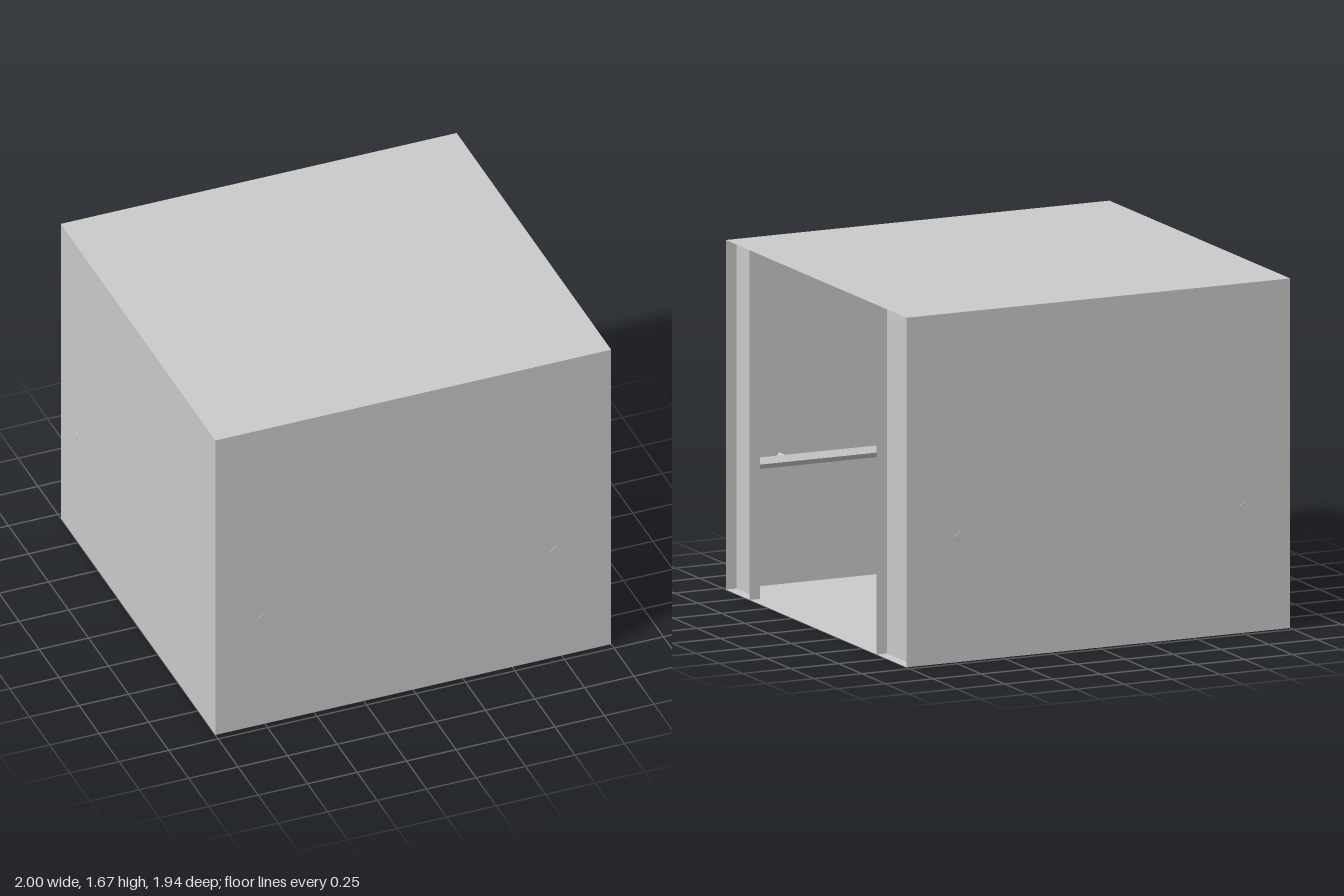
import * as THREE from 'three';

const H = 1.675, X = 1, Z = 0.965; // height and half sizes
const RAIL_Y = 0.603, R = 0.028;

export function createModel() {
  const room = new THREE.Group();
  room.name = 'room';
  const sheetMat = new THREE.MeshStandardMaterial({ color: 0xcccccc, side: THREE.DoubleSide });
  const mat = new THREE.MeshStandardMaterial({ color: 0xcccccc, flatShading: true });

  const add = (name, geometry, material, x, y, z) => {
    const mesh = new THREE.Mesh(geometry, material);
    mesh.name = name;
    mesh.position.set(x, y, z);
    room.add(mesh);
    return mesh;
  };
  // Thin flat sheet, turned about one axis
  const sheet = (name, w, h, x, y, z, rx = 0, ry = 0) =>
    add(name, new THREE.PlaneGeometry(w, h), sheetMat, x, y, z).rotation.set(rx, ry, 0);
  // Four-sided rod along x or z, between two ends
  const rod = (name, axis, from, to, x, z) => {
    const g = new THREE.CylinderGeometry(R, R, Math.abs(to - from), 4);
    const mid = (from + to) / 2;
    if (axis === 'x') g.rotateZ(Math.PI / 2);
    else g.rotateX(Math.PI / 2);
    add(name, g, mat, axis === 'x' ? mid : x, RAIL_Y, axis === 'z' ? mid : z);
  };

  // Shell, open towards +x
  sheet('floor', 2 * X, 2 * Z, 0, 0, 0, Math.PI / 2);
  sheet('ceiling', 2 * X, 2 * Z, 0, H, 0, -Math.PI / 2);
  sheet('frontWall', 2 * X, H, 0, H / 2, Z);
  sheet('backWall', 2 * X, H, 0, H / 2, -Z, 0, Math.PI);
  sheet('sideWall', 2 * Z, H, -X, H / 2, 0, 0, -Math.PI / 2);

  // Recessed panels and jambs beside the doorway
  const recess = 0.945;
  for (const [edge, wall] of [[0.71, Z], [-0.645, -Z]]) {
    sheet('doorPanel', Math.abs(wall - edge), H, recess, H / 2, (wall + edge) / 2, 0, Math.PI / 2);
    sheet('doorJamb', X - recess, H, (X + recess) / 2, H / 2, edge);
  }

  // Handrails along three walls, with pegs just piercing the walls
  const railZ = 0.905, railX = -0.94, poke = 0.003;
  for (const s of [1, -1]) {
    rod('handrail', 'x', railX, 0.92, 0, s * railZ);
    for (const x of [-0.76, 0.72]) rod('railPeg', 'z', s * railZ, s * (Z + poke), x, 0);
  }
  rod('handrail', 'z', -railZ, railZ, railX, 0);
  for (const z of [-0.77, 0.708]) rod('railPeg', 'x', railX, -X - poke, 0, z);

  // Flat ceiling lights
  for (const x of [-0.5, 0.5])
    for (const z of [-0.51, 0.505])
      add('ceilingLight', new THREE.BoxGeometry(0.14, 0.01, 0.13), mat, x, H - 0.006, z);

  return room;
}
